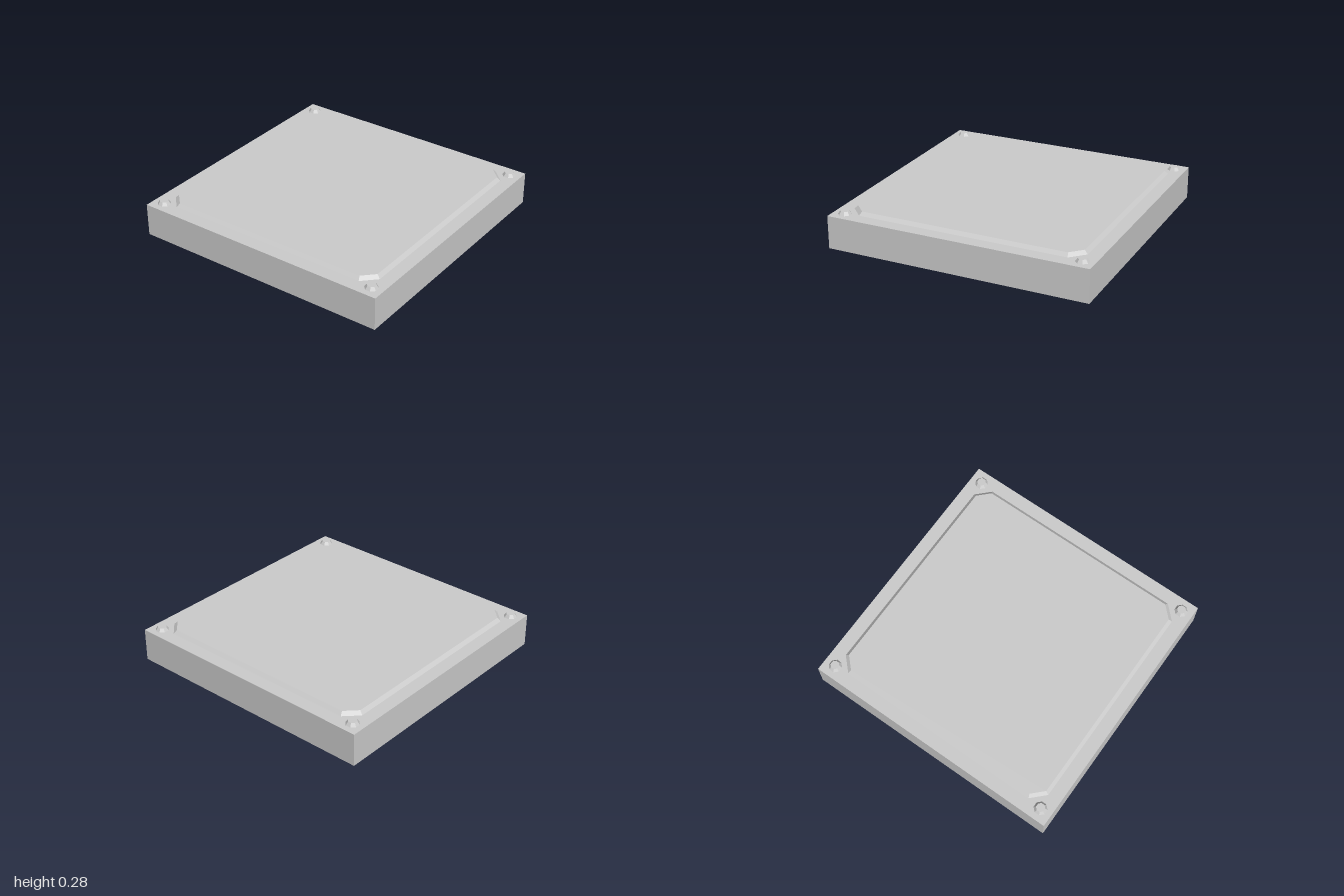
import * as THREE from 'three';

const BASE_H = 0.25;
const RAISE = 0.025;

export function createModel() {
  const group = new THREE.Group();
  const material = new THREE.MeshStandardMaterial({ color: 0xcccccc, flatShading: true });
  const add = (name, geometry, x, y, z) => {
    const mesh = new THREE.Mesh(geometry, material);
    mesh.name = name;
    mesh.position.set(x, y, z);
    group.add(mesh);
  };

  // Square slab
  add('baseSlab', new THREE.BoxGeometry(2, BASE_H, 2), 0, BASE_H / 2, 0);

  // Raised panel with cut corners and a sloped edge; its lower part sits inside the slab
  const a = 0.9, c = 0.8, depth = 0.02;
  const outline = new THREE.Shape(
    [[a, -c], [a, c], [c, a], [-c, a], [-a, c], [-a, -c], [-c, -a], [c, -a]]
      .map(([x, y]) => new THREE.Vector2(x, y))
  );
  const panel = new THREE.ExtrudeGeometry(outline, {
    depth, bevelEnabled: true, bevelSegments: 1,
    bevelThickness: RAISE, bevelSize: RAISE, bevelOffset: -RAISE,
  });
  panel.rotateX(-Math.PI / 2);
  add('raisedPanel', panel, 0, BASE_H - depth, 0);

  // Tapered eight-sided bolt heads in the corners
  const bolt = new THREE.CylinderGeometry(0.033, 0.05, RAISE, 8);
  bolt.rotateY(Math.PI / 8);
  for (const x of [-0.91, 0.91]) {
    for (const z of [-0.91, 0.91]) add('cornerBolt', bolt, x, BASE_H + RAISE / 2, z);
  }

  return group;
}
